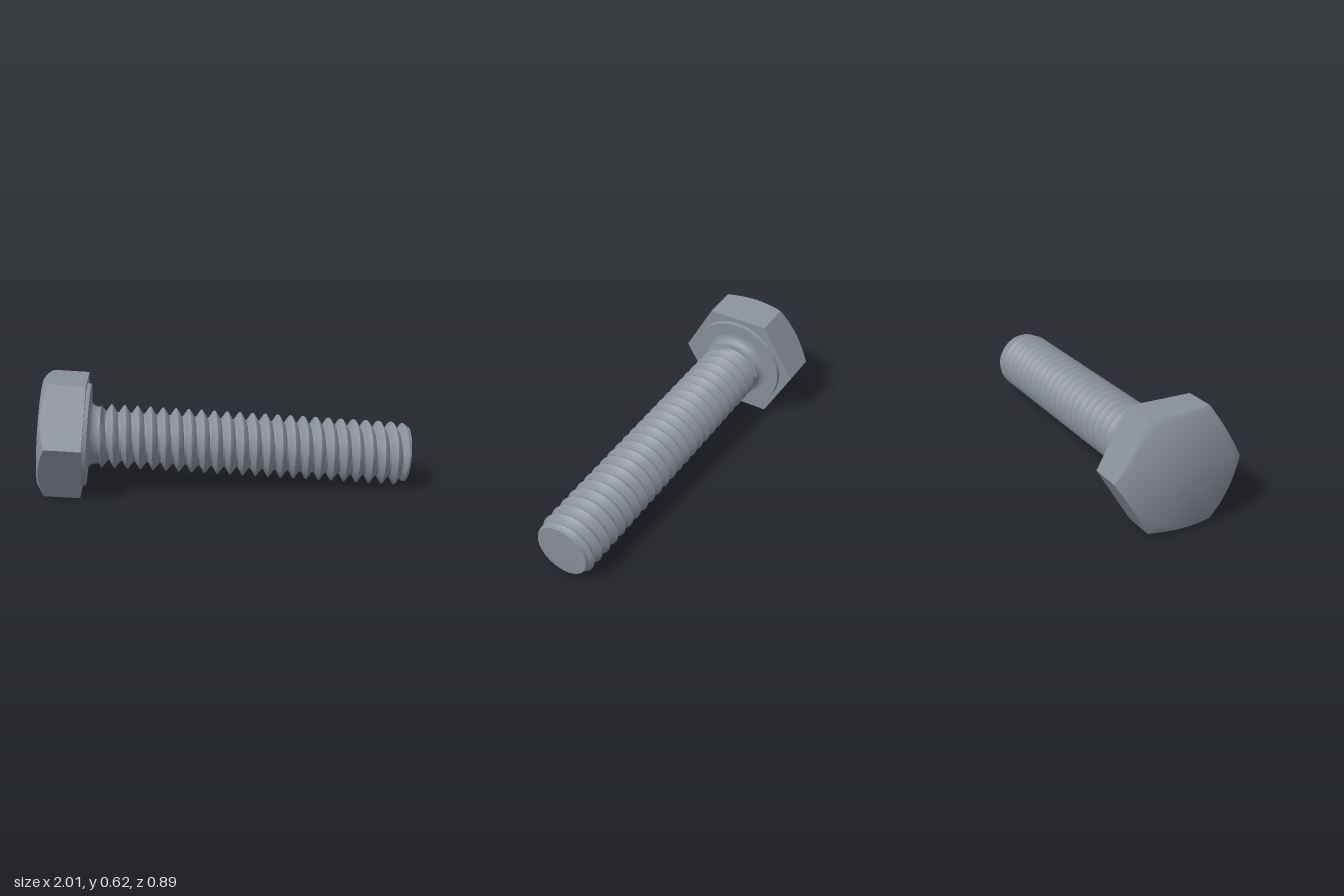
import * as THREE from 'three';
import { toCreasedNormals } from 'three/addons/utils/BufferGeometryUtils.js';

const steel = new THREE.MeshStandardMaterial({ color: 0x8a919b });
steel.name = 'steel';

const HEX_RADIUS = 0.348, HEAD_HEIGHT = 0.23, CHAMFER_RADIUS = 0.285;
const PITCH = 0.0686, MAJOR = 0.17, ROOT = 0.13;
const THREAD_START = 0.08, TIP = 1.734, TIP_RADIUS = 0.147;

// Surface around the y axis: point(row, angle) gives [radius, height]
function sweep(rows, cols, point, crease) {
  const at = (i, j) => {
    const a = (j / cols) * Math.PI * 2;
    const [r, y] = point(i, a);
    return new THREE.Vector3(r * Math.cos(a), y, -r * Math.sin(a));
  };
  const positions = [];
  const triangle = new THREE.Triangle();
  const add = (a, b, c) => {
    triangle.set(a, b, c);
    if (triangle.getArea() > 1e-8) positions.push(...a, ...b, ...c);
  };
  for (let i = 0; i < rows - 1; i++) {
    for (let j = 0; j < cols; j++) {
      const a = at(i, j), b = at(i, j + 1), c = at(i + 1, j), d = at(i + 1, j + 1);
      add(a, b, c);
      add(b, d, c);
    }
  }
  const geometry = new THREE.BufferGeometry();
  geometry.setAttribute('position', new THREE.Float32BufferAttribute(positions, 3));
  return toCreasedNormals(geometry, crease);
}

// Hexagonal prism with its outer corners chamfered
function headGeometry() {
  const sixth = Math.PI / 3;
  return sweep(5, 72, (i, a) => {
    const local = ((a + 1e-6) % sixth) - sixth / 2;
    const hex = HEX_RADIUS * Math.cos(sixth / 2) / Math.cos(local);
    const drop = (hex - CHAMFER_RADIUS) * 0.64;
    return [
      [0, -HEAD_HEIGHT],
      [CHAMFER_RADIUS, -HEAD_HEIGHT],
      [hex, -HEAD_HEIGHT + drop],
      [hex, 0],
      [0, 0],
    ][i];
  }, 0.75);
}

// Right-handed helical thread, cut to a cone at the tip
function threadGeometry() {
  const profile = [[0, ROOT], [0.16, ROOT], [0.5, MAJOR - 0.002], [0.56, MAJOR], [0.63, MAJOR - 0.002]];
  const turns = Math.ceil((TIP - THREAD_START) / PITCH) + 2;
  return sweep(turns * profile.length, 64, (i, a) => {
    const [offset, radius] = profile[i % profile.length];
    const turn = Math.floor(i / profile.length) - 1 + offset + a / (Math.PI * 2);
    const y = THREE.MathUtils.clamp(THREAD_START + turn * PITCH, THREAD_START, TIP);
    const limit = TIP_RADIUS + (TIP - y) * 0.65;
    return [Math.min(radius, limit), y];
  }, 0.8);
}

function lathe(points, crease) {
  const shape = new THREE.LatheGeometry(points.map(([r, y]) => new THREE.Vector2(r, y)), 64);
  return toCreasedNormals(shape, crease);
}

export function createModel() {
  const bolt = new THREE.Group();
  bolt.name = 'hexBolt';
  const add = (name, geometry) => {
    const mesh = new THREE.Mesh(geometry, steel);
    mesh.name = name;
    bolt.add(mesh);
  };

  add('hexHead', headGeometry());
  add('washerFace', lathe([[0.274, 0], [0.271, 0.02], [0.14, 0.02]], 0.5));

  // Concave fillet between washer face and shank
  const fillet = [];
  for (let i = 0; i <= 8; i++) {
    const a = (i / 8) * Math.PI / 2;
    fillet.push([0.2 - 0.048 * Math.sin(a), 0.02 + 0.048 * (1 - Math.cos(a))]);
  }
  add('neck', lathe([...fillet, [0.152, 0.085], [0.125, 0.11]], 0.6));

  add('thread', threadGeometry());
  add('tip', lathe([[0.128, TIP - 0.035], [0.15, TIP - 0.012], [0.147, TIP], [0.075, TIP + 0.003], [0, TIP + 0.004]], 0.6));

  // Lay the bolt down, resting on the head flat and the tip
  const axis = new THREE.Vector3(1, -0.079, 0.214).normalize();
  const across = new THREE.Vector3(axis.z, 0, -axis.x).normalize();
  const third = new THREE.Vector3().crossVectors(across, axis);
  bolt.quaternion.setFromRotationMatrix(new THREE.Matrix4().makeBasis(across, axis, third));
  bolt.position.set(-0.72, 0.301, -0.07);

  const model = new THREE.Group();
  model.name = 'boltModel';
  model.add(bolt);
  return model;
}
